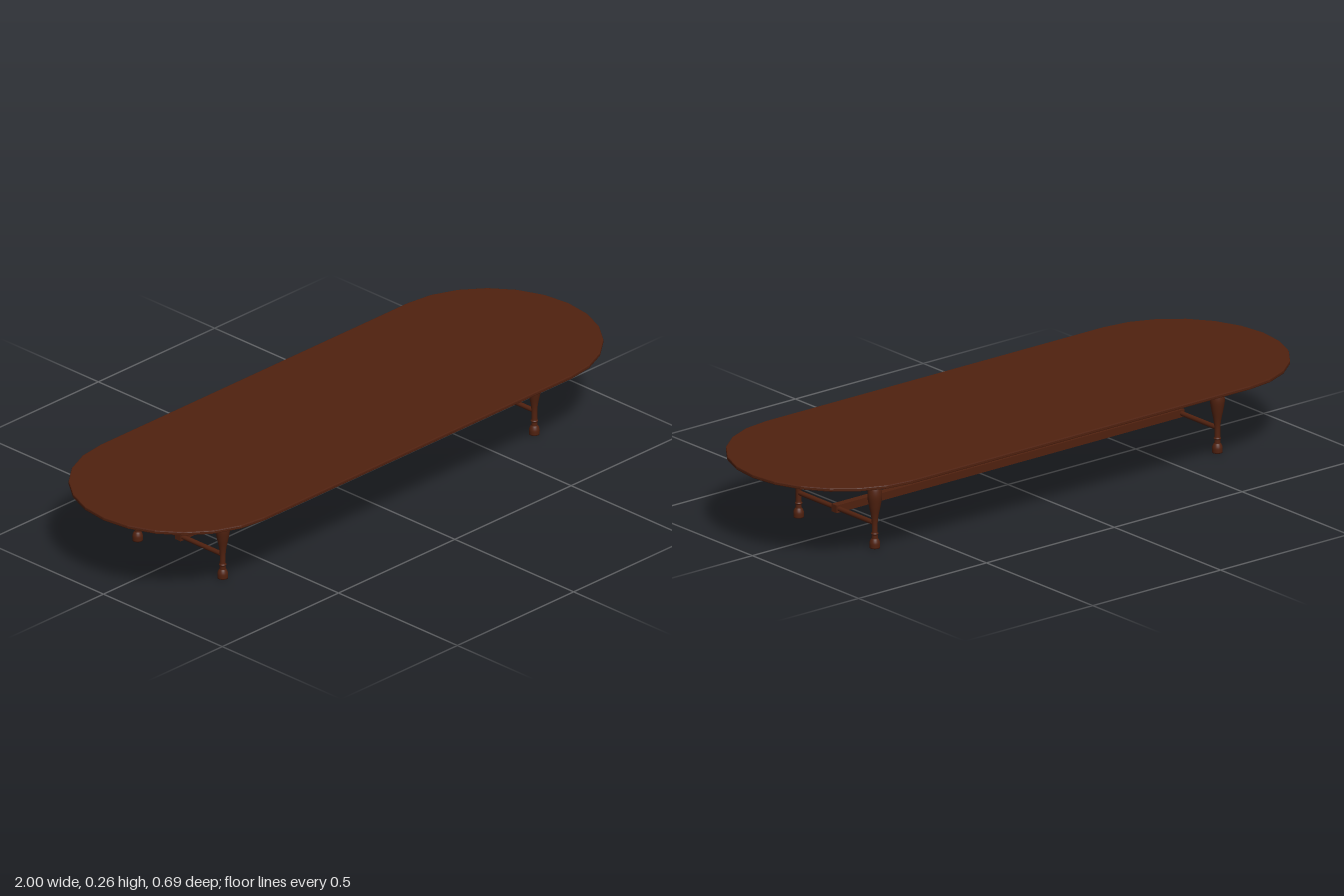
import * as THREE from 'three';

export function createModel() {
  const table = new THREE.Group();
  table.name = 'table';
  const wood = new THREE.MeshStandardMaterial({ color: 0x50210f });
  wood.name = 'dark wood';

  const add = (name, geometry, parent, x = 0, y = 0, z = 0) => {
    const mesh = new THREE.Mesh(geometry, wood);
    mesh.name = name;
    mesh.position.set(x, y, z);
    parent.add(mesh);
    return mesh;
  };

  // Top: a faceted stadium outline with a slight bevel
  const bevel = 0.003, steps = 12;
  const points = [];
  for (const side of [1, -1]) {
    for (let i = 0; i <= steps; i++) {
      const a = -Math.PI / 2 + (i / steps) * Math.PI;
      points.push(new THREE.Vector2(
        side * (0.66 + Math.cos(a) * (0.34 - bevel)),
        side * Math.sin(a) * (0.346 - bevel)));
    }
  }
  const topGeometry = new THREE.ExtrudeGeometry(new THREE.Shape(points), {
    depth: 0.006, bevelEnabled: true, bevelThickness: bevel, bevelSize: bevel, bevelSegments: 2,
  });
  topGeometry.rotateX(-Math.PI / 2);
  add('tableTop', topGeometry, table, 0, 0.25, 0);

  // Turned leg profile: foot, ankle ring, slender neck, vase, collar rings
  const curve = (pts) => new THREE.SplineCurve(pts.map(p => new THREE.Vector2(...p))).getPoints(pts.length * 4);
  const profile = [
    new THREE.Vector2(0, 0),
    new THREE.Vector2(0.016, 0),
    ...curve([[0.016, 0.004], [0.016, 0.016], [0.013, 0.025], [0.0095, 0.03]]),
    new THREE.Vector2(0.009, 0.041),
    ...curve([[0.0095, 0.042], [0.0115, 0.045], [0.0095, 0.048]]),
    ...curve([[0.009, 0.05], [0.009, 0.08], [0.012, 0.105], [0.018, 0.134], [0.0225, 0.163], [0.021, 0.183], [0.0165, 0.197]]),
    ...curve([[0.018, 0.198], [0.0215, 0.2], [0.018, 0.203]]),
    ...curve([[0.019, 0.204], [0.0215, 0.206], [0.0205, 0.21]]),
    new THREE.Vector2(0, 0.21),
  ];
  const legGeometry = new THREE.LatheGeometry(profile, 24);
  const blockGeometry = new THREE.BoxGeometry(0.044, 0.038, 0.044);
  const railGeometry = new THREE.CylinderGeometry(0.0075, 0.0075, 0.35, 16);
  railGeometry.rotateX(Math.PI / 2);

  const legX = 0.67, legZ = 0.179;
  for (const x of [legX, -legX]) {
    for (const z of [legZ, -legZ]) {
      const leg = new THREE.Group();
      leg.name = (z > 0 ? 'front' : 'back') + (x > 0 ? 'Left' : 'Right') + 'Leg';
      leg.position.set(x, 0, z);
      table.add(leg);
      add('turnedLeg', legGeometry, leg);
      add('legBlock', blockGeometry, leg, 0, 0.228, 0);
    }
    // Rail joining the two legs at each end
    add(x > 0 ? 'leftRail' : 'rightRail', railGeometry, table, x, 0.078, 0);
  }

  // Long beam between the end rails
  add('stretcher', new THREE.BoxGeometry(1.36, 0.024, 0.024), table, 0, 0.078, 0);

  return table;
}
